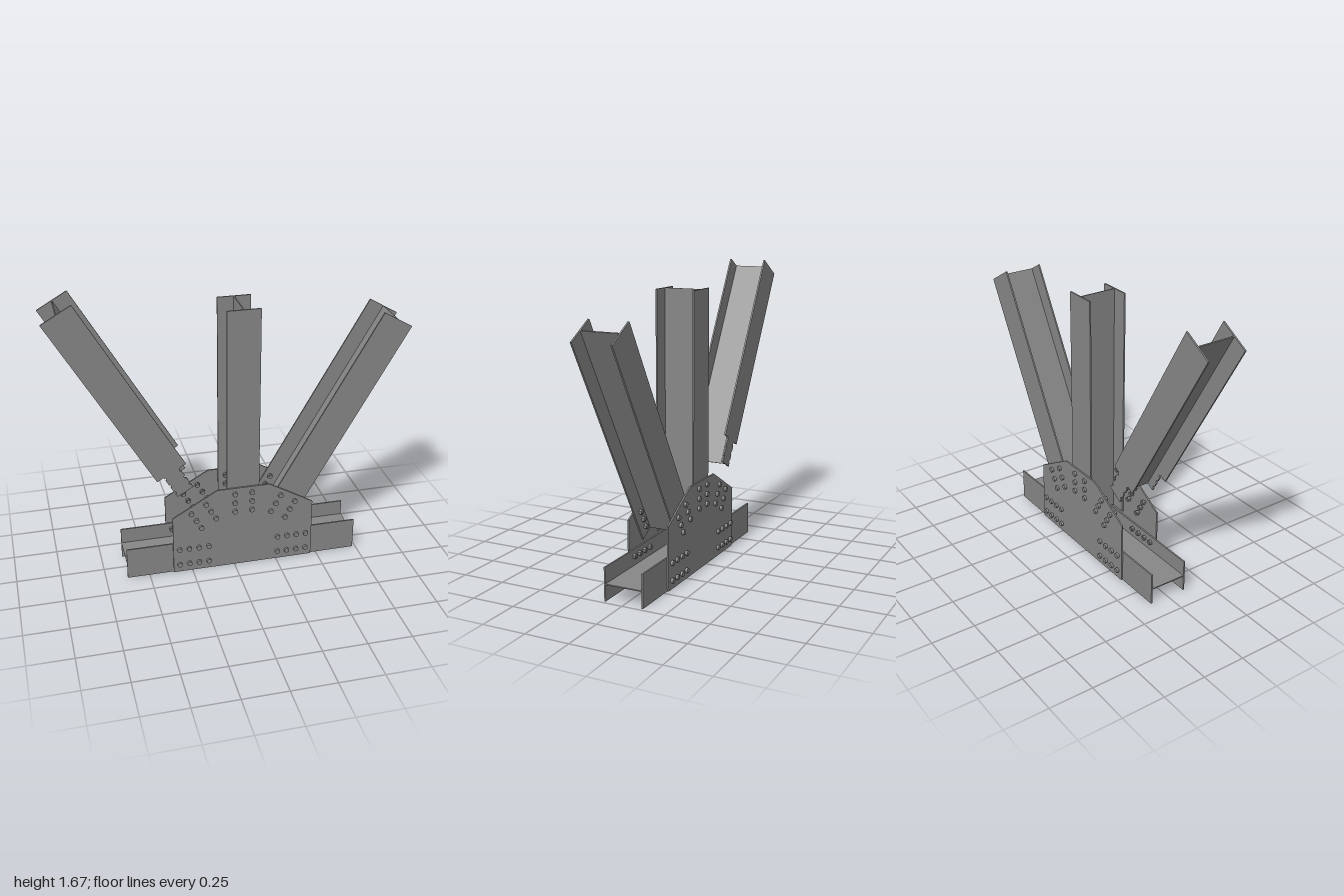
import * as THREE from 'three';

const steel = new THREE.MeshStandardMaterial({ color: 0x868686, flatShading: true });
const WIDTH = 0.188, FLANGE_IN = 0.106, FLANGE_OUT = 0.115, PLATE_OUT = 0.124, WEB = 0.006;

function addMesh(parent, name, geometry, x = 0, y = 0, z = 0) {
  const mesh = new THREE.Mesh(geometry, steel);
  mesh.name = name;
  mesh.position.set(x, y, z);
  parent.add(mesh);
  return mesh;
}

// Flat outline given thickness from z0 to z1, made on both faces of the joint
function addPlatePair(parent, name, shape, z0, z1) {
  const geometry = new THREE.ExtrudeGeometry(shape, { depth: z1 - z0, bevelEnabled: false, curveSegments: 6 });
  addMesh(parent, name + 'Front', geometry, 0, 0, z0);
  addMesh(parent, name + 'Back', geometry, 0, 0, -z1);
}

function polygon(points) {
  return new THREE.Shape(points.map(([x, y]) => new THREE.Vector2(x, y)));
}

// H-section running up local y from its lower end
function makeBeam(name, length, flange) {
  const beam = new THREE.Group();
  beam.name = name;
  const w = WIDTH / 2;
  const outline = flange || polygon([[-w, 0], [w, 0], [w, length], [-w, length]]);
  addPlatePair(beam, name + 'Flange', outline, FLANGE_IN, FLANGE_OUT);
  addMesh(beam, name + 'Web', new THREE.BoxGeometry(WEB, length, FLANGE_IN * 2), 0, length / 2, 0);
  return beam;
}

// Flange narrowed at its lower end, with half-round bolt notches along the neck
function neckedFlange(length, neck) {
  const w = WIDTH / 2, n = 0.052, r = 0.009, rows = [0.03, 0.083, 0.136];
  const s = new THREE.Shape();
  s.moveTo(-n, 0);
  s.lineTo(n, 0);
  for (const y of rows) {
    s.lineTo(n, y - r);
    s.absarc(n, y, r, -Math.PI / 2, Math.PI / 2, true);
  }
  s.lineTo(n, neck);
  s.lineTo(w, neck);
  s.lineTo(w, length);
  s.lineTo(-w, length);
  s.lineTo(-w, neck);
  s.lineTo(-n, neck);
  for (const y of [...rows].reverse()) {
    s.lineTo(-n, y + r);
    s.absarc(-n, y, r, Math.PI / 2, -Math.PI / 2, true);
  }
  s.closePath();
  return s;
}

// Bolt: round head outside, shank through the plates, nut inside
const headGeo = new THREE.CylinderGeometry(0.0145, 0.0145, 0.014, 12).rotateX(Math.PI / 2);
const shankGeo = new THREE.CylinderGeometry(0.009, 0.009, 0.05, 10).rotateX(Math.PI / 2);
const nutGeo = new THREE.CylinderGeometry(0.0155, 0.0155, 0.015, 6).rotateX(Math.PI / 2);

function addBolt(parent, x, y, side) {
  const bolt = new THREE.Group();
  bolt.name = 'bolt';
  addMesh(bolt, 'boltHead', headGeo, 0, 0, side * (PLATE_OUT + 0.007));
  addMesh(bolt, 'boltShank', shankGeo, 0, 0, side * 0.112);
  addMesh(bolt, 'boltNut', nutGeo, 0, 0, side * (FLANGE_IN - 0.0075));
  bolt.position.set(x, y, 0);
  parent.add(bolt);
}

export function createModel() {
  const model = new THREE.Group();
  model.name = 'bracedSteelJoint';
  const CX = 0.052;

  // Horizontal bottom chord
  const chord = makeBeam('bottomChord', 1.36);
  chord.rotation.z = -Math.PI / 2;
  chord.position.set(-0.628, WIDTH / 2, 0);
  model.add(chord);

  // Upright post
  const post = makeBeam('post', 1.36);
  post.position.set(CX, 0.21, 0);
  model.add(post);

  // Connected diagonal on the +x side
  const brace = makeBeam('leftDiagonal', 1.36);
  brace.rotation.z = -Math.PI / 6;
  brace.position.set(0.239, 0.259, 0);
  model.add(brace);

  // Detached diagonal with a necked end
  const loose = makeBeam('detachedDiagonal', 1.275, neckedFlange(1.275, 0.151));
  loose.rotation.z = Math.PI / 6;
  loose.position.set(-0.281, 0.523, 0);
  model.add(loose);

  // Gusset plates
  const gusset = polygon([[-0.36, 0], [0.465, 0], [0.465, 0.36], [0.205, 0.51], [-0.1, 0.51], [-0.36, 0.36]]);
  addPlatePair(model, 'gussetPlate', gusset, FLANGE_OUT, PLATE_OUT);

  // Bolt positions: chord, post, then the two mirrored diagonals
  const spots = [];
  for (const m of [-1, 1]) {
    for (let i = 0; i < 4; i++)
      for (const y of [0.05, 0.15]) spots.push([CX + m * (0.206 + i * 0.057), y]);
    for (let i = 0; i < 3; i++) {
      spots.push([CX + m * 0.05, 0.36 + i * 0.057]);
      const dx = i * 0.0285, dy = i * 0.0495;
      spots.push([CX + m * (0.219 - dx), 0.43 - dy], [CX + m * (0.304 - dx), 0.38 - dy]);
    }
  }
  const bolts = new THREE.Group();
  bolts.name = 'bolts';
  for (const [x, y] of spots) for (const side of [-1, 1]) addBolt(bolts, x, y, side);
  model.add(bolts);

  return model;
}
